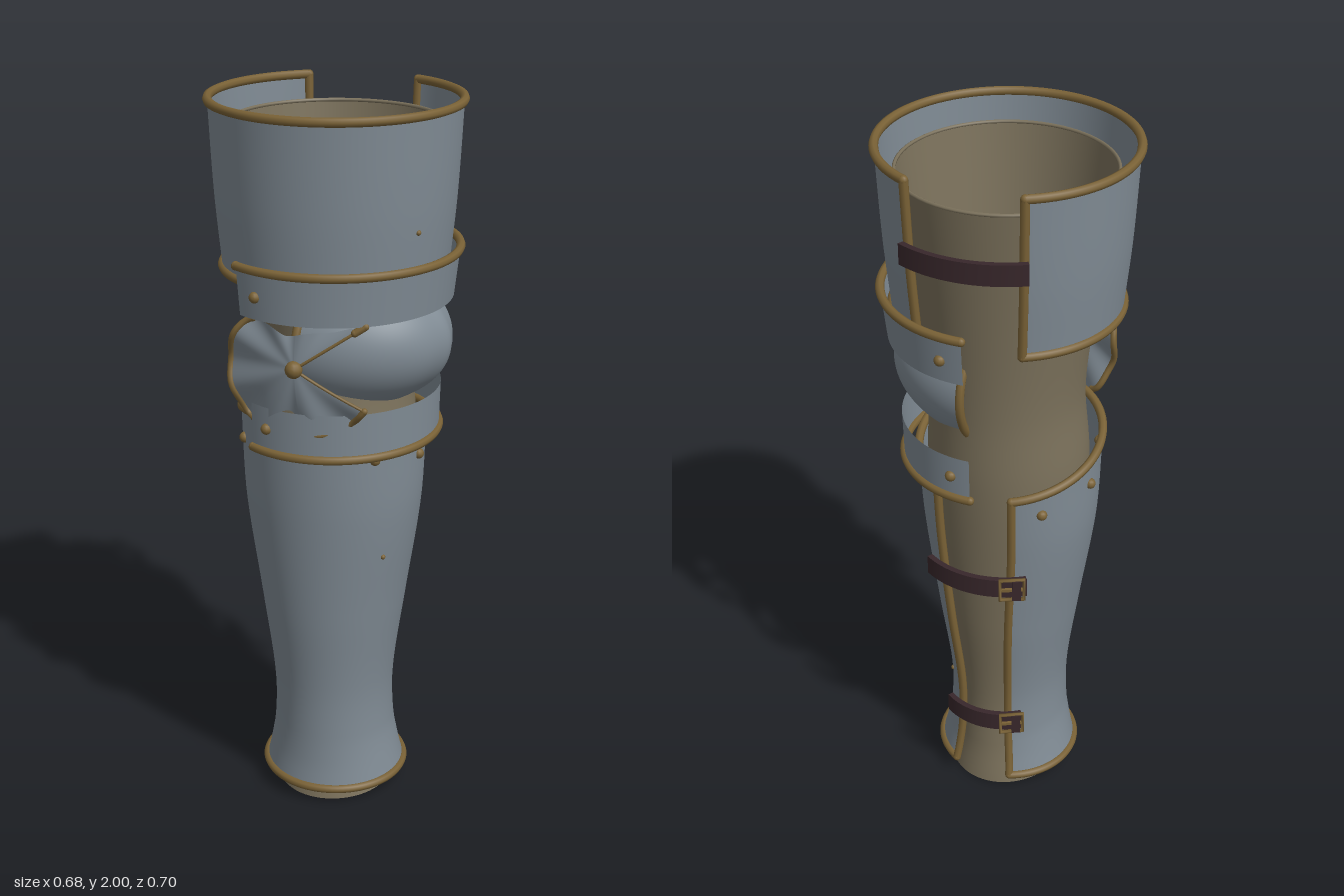
import * as THREE from 'three';
import { ParametricGeometry } from 'three/addons/geometries/ParametricGeometry.js';

const mat = (name, color, side = THREE.FrontSide) =>
  Object.assign(new THREE.MeshStandardMaterial({ color, side }), { name });
const rad = THREE.MathUtils.degToRad;

// Smooth interpolation of table rows [key, ...values] at a key
function sample(rows, k) {
  let i = 0;
  while (i < rows.length - 2 && k > rows[i + 1][0]) i++;
  const p = rows[i], q = rows[i + 1];
  const o = rows[Math.max(i - 1, 0)], n = rows[Math.min(i + 2, rows.length - 1)];
  const h = q[0] - p[0], t = (k - p[0]) / h;
  return p.slice(1).map((_, j) => {
    const c = j + 1;
    const m0 = h * (q[c] - o[c]) / (q[0] - o[0]), m1 = h * (n[c] - p[c]) / (n[0] - p[0]);
    return (2 * t ** 3 - 3 * t * t + 1) * p[c] + (t ** 3 - 2 * t * t + t) * m0
      + (3 * t * t - 2 * t ** 3) * q[c] + (t ** 3 - t * t) * m1;
  });
}

// Elliptical sections: [y, radius x, radius z, centre z]
const THIGH = [[1.56, 0.298, 0.303, 0.005], [1.75, 0.315, 0.318, 0.005], [2, 0.327, 0.33, 0.005]];
const UPPER_LAME = [[1.48, 0.312, 0.323, 0.007], [1.61, 0.326, 0.333, 0.005]];
const LOWER_LAME = [[1.11, 0.28, 0.29, 0.007], [1.235, 0.283, 0.293, 0.007]];
const GREAVE = [[0.05, 0.2, 0.198, 0.01], [0.1, 0.188, 0.188, 0.012], [0.2, 0.17, 0.18, 0.015],
  [0.35, 0.168, 0.183, 0.017], [0.6, 0.2, 0.213, 0.016], [0.9, 0.243, 0.238, 0.018],
  [1.1, 0.251, 0.248, 0.018], [1.21, 0.252, 0.25, 0.018]];
const LINER = [[0, 0.165, 0.18, 0.005], [0.12, 0.14, 0.16, 0.004], [0.3, 0.136, 0.153, 0.005],
  [0.6, 0.175, 0.188, 0.012], [0.9, 0.215, 0.212, 0.012], [1.1, 0.22, 0.222, 0.01],
  [1.3, 0.208, 0.215, 0], [1.5, 0.225, 0.23, 0], [1.93, 0.278, 0.278, 0]];

// Point on a sectioned shell; angle in degrees from +x towards +z
function onShell(rows, a, y, out = 0) {
  const [rx, rz, zc] = sample(rows, y);
  return new THREE.Vector3((rx + out) * Math.cos(rad(a)), y, zc + (rz + out) * Math.sin(rad(a)));
}

export function createModel() {
  const model = new THREE.Group();
  model.name = 'legArmour';
  const steel = mat('steel', 0x808b94, THREE.DoubleSide);
  const bronze = mat('bronze', 0x7a6236);
  const cloth = mat('liningCloth', 0x7c725c, THREE.DoubleSide);
  const leather = mat('darkLeather', 0x38272b);

  const add = (name, geo, material, parent = model) => {
    const m = new THREE.Mesh(geo, material);
    m.name = name;
    parent.add(m);
    return m;
  };
  const group = name => {
    const g = new THREE.Group();
    g.name = name;
    model.add(g);
    return g;
  };
  const surface = (f, nu, nv) => new ParametricGeometry((u, v, t) => t.copy(f(u, v)), nu, nv);
  // Bronze roll along f(0..1), with rounded ends
  const trim = (parent, f, n = 48, r = 0.012) => {
    const pts = Array.from({ length: n + 1 }, (_, i) => f(i / n));
    add('trim', new THREE.TubeGeometry(new THREE.CatmullRomCurve3(pts), n, r, 8), bronze, parent);
    for (const p of [pts[0], pts[n]]) {
      add('trimEnd', new THREE.SphereGeometry(r, 10, 8), bronze, parent).position.copy(p);
    }
  };
  const rivet = (parent, p, r = 0.015) =>
    add('rivet', new THREE.SphereGeometry(r, 12, 8), bronze, parent).position.copy(p);

  // Plate wrapped from angle a0 to a1 between y0 and top(angle)
  function plate(name, rows, a0, a1, y0, top, edges) {
    const g = group(name);
    const ang = u => a1 + (a0 - a1) * u;
    const f = (u, v) => onShell(rows, ang(u), y0 + (top(ang(u)) - y0) * v);
    add(name + 'Shell', surface(f, 72, 28), steel, g);
    if (edges.includes('t')) trim(g, t => f(t, 1), 72);
    if (edges.includes('b')) trim(g, t => f(t, 0), 72);
    if (edges.includes('s')) for (const u of [0, 1]) trim(g, t => f(u, t), 30);
    return g;
  }

  // Cloth lining
  add('lining', surface((u, v) => onShell(LINER, -360 * u, 1.93 * v), 64, 60), cloth);
  trimCloth();
  function trimCloth() {
    const pts = Array.from({ length: 48 }, (_, i) => onShell(LINER, i * 7.5, 1.93));
    add('liningHem', new THREE.TubeGeometry(new THREE.CatmullRomCurve3(pts, true), 64, 0.005, 6, true), cloth);
  }

  // Thigh plate, knee lames and greave
  const thigh = plate('thighPlate', THIGH, -73, 232, 1.56, () => 2 - 0.008, 'tbs');
  const upper = plate('upperKneeLame', UPPER_LAME, -101, 115, 1.48, () => 1.61, 't');
  const lower = plate('lowerKneeLame', LOWER_LAME, -101, 115, 1.11, () => 1.235, 'b');
  const greave = plate('greave', GREAVE, -69, 239, 0.05, a => 1.135 + 0.062 * Math.sin(rad(a)), 'tbs');
  for (const a of [104, -90]) {
    rivet(upper, onShell(UPPER_LAME, a, 1.54));
    rivet(lower, onShell(LOWER_LAME, a, 1.175));
  }
  for (const s of [-1, 0, 1]) {
    for (const a of [40 * s, 180 - 40 * s]) rivet(greave, onShell(GREAVE, a, 1.06 + 0.03 * s));
  }
  rivet(thigh, onShell(THIGH, 24, 1.7), 0.007);
  rivet(greave, onShell(GREAVE, 30, 0.79), 0.007);
  rivet(greave, onShell(GREAVE, -45, 0.34), 0.007);

  // Domed knee cup with a faint central ridge, facing +x
  const knee = group('kneeCup');
  const dome = (u, v) => {
    const a = rad(94 - 188 * u), p = rad(163 - 146 * v);
    const ridge = 0.008 * Math.exp(-((a / 0.12) ** 2)) * Math.sin(p);
    return new THREE.Vector3(0.015 + (0.303 + ridge) * Math.sin(p) * Math.cos(a),
      1.372 + 0.2 * Math.cos(p), 0.245 * Math.sin(p) * Math.sin(a));
  };
  add('kneeDome', surface(dome, 64, 40), steel, knee);
  for (const e of [0, 1]) {
    trim(knee, t => dome(e, t));
    trim(knee, t => dome(t, e));
  }

  // Pleated fan on the outer side of the knee: [angle, reach]
  const FAN = [[35, 0.208], [48, 0.135], [75, 0.098], [107, 0.088], [128, 0.135], [140, 0.17], [155, 0.19],
    [180, 0.203], [208, 0.213], [230, 0.223], [246, 0.145], [263, 0.124], [279, 0.182], [302, 0.194], [328, 0.2]];
  const fan = group('kneeFan');
  const fanPoint = (deg, k) => {
    const r = sample(FAN, deg)[0] * k, a = rad(deg), dx = r * Math.cos(a);
    const z = 0.312 - 0.9 * r * r - 0.18 * Math.max(0, dx) + 0.05 * r * k * Math.cos(rad((deg - 35) * 8.6));
    return new THREE.Vector3(0.025 + dx, 1.36 + r * Math.sin(a), z);
  };
  add('fanPlate', surface((u, v) => fanPoint(35 + 293 * u, Math.max(1 - v, 0.01)), 110, 14), steel, fan);
  trim(fan, t => fanPoint(140 + 90 * t, 1), 30, 0.009);
  trim(fan, t => fanPoint(279 + 49 * t, 1), 20, 0.009);
  trim(fan, t => fanPoint(35, 0.86 + 0.14 * t), 4, 0.01);
  for (const a of [35, 328]) trim(fan, t => fanPoint(a, 0.05 + 0.95 * t), 10, 0.004);
  rivet(fan, new THREE.Vector3(0.025, 1.36, 0.314), 0.023);

  // Leather straps across the open back: box bent round the leg
  function strap(y, r, zc, a0, a1, buckled) {
    const g = group('strap');
    const geo = new THREE.BoxGeometry(1, 0.056, 0.016, 28, 1, 1);
    const p = geo.attributes.position;
    for (let i = 0; i < p.count; i++) {
      const a = rad((a0 + a1) / 2 - (a1 - a0) * p.getX(i)), d = r + p.getZ(i);
      p.setXYZ(i, d * Math.cos(a), y + p.getY(i), zc + d * Math.sin(a));
    }
    geo.computeVertexNormals();
    add('strapBand', geo, leather, g);
    if (!buckled) return;
    // Square buckle with a tongue
    const b = new THREE.Group(), a = rad(a0 + 9);
    b.name = 'buckle';
    b.position.set((r + 0.012) * Math.cos(a), y, zc + (r + 0.012) * Math.sin(a));
    b.rotation.y = Math.PI / 2 - a;
    g.add(b);
    add('buckleFrame', new THREE.TorusGeometry(0.046, 0.006, 6, 4).rotateZ(Math.PI / 4), bronze, b);
    add('buckleTongue', new THREE.BoxGeometry(0.06, 0.008, 0.008), bronze, b);
    add('strapKeeper', new THREE.BoxGeometry(0.024, 0.064, 0.016), leather, b).position.x = 0.012;
  }
  strap(1.81, 0.338, -0.004, -130, -73, false);
  strap(0.82, 0.252, -0.01, -134, -66, true);
  strap(0.28, 0.188, -0.016, -136, -64, true);

  return model;
}
